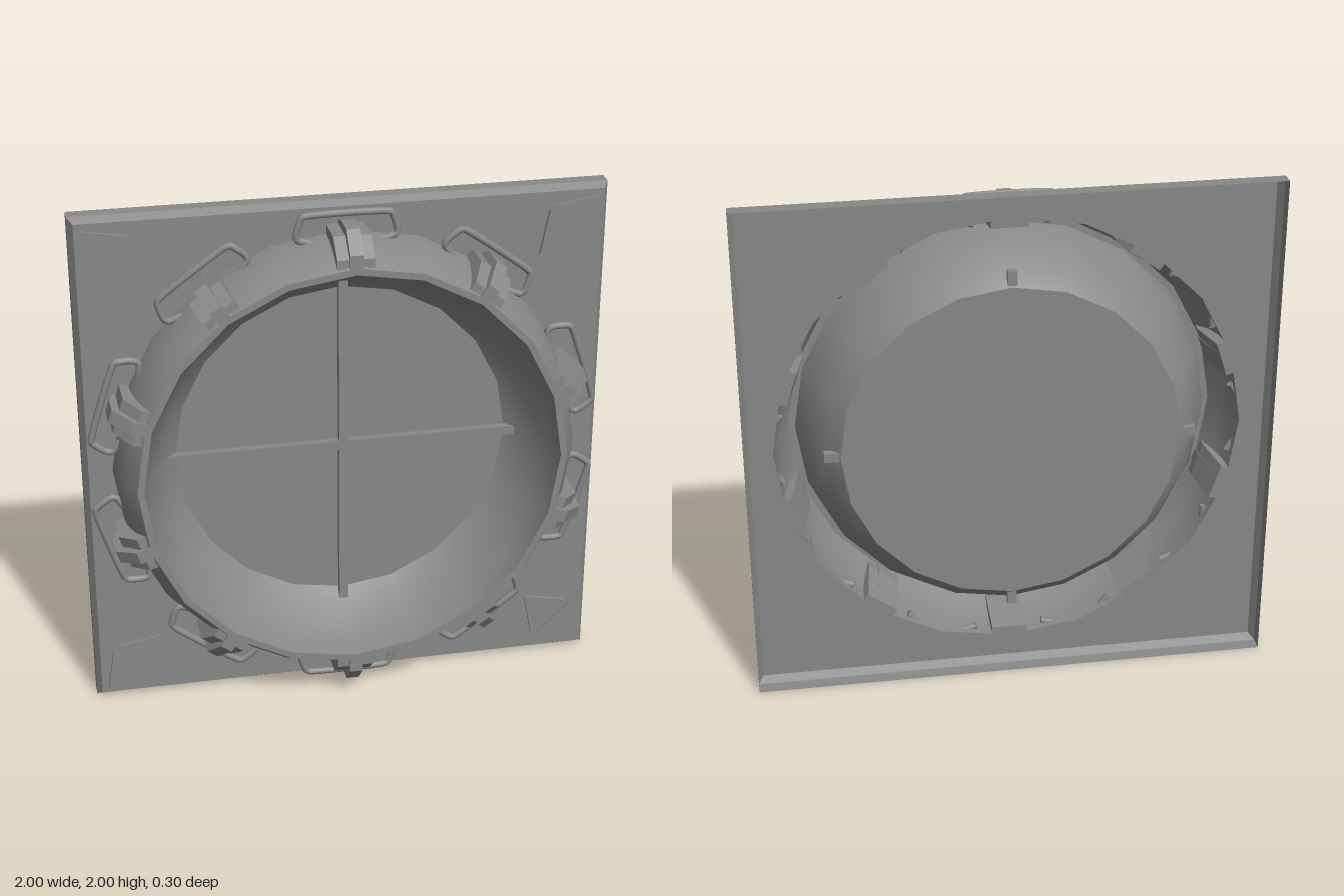
import * as THREE from 'three';
import { toCreasedNormals } from 'three/addons/utils/BufferGeometryUtils.js';

const SIDES = 20;
const CLAMPS = 10;
const FACE_Z = -0.065;

export function createModel() {
  const root = new THREE.Group();
  root.name = 'porthole';
  const body = new THREE.Group();
  body.name = 'body';
  body.position.y = 1;
  root.add(body);

  const grey = new THREE.MeshStandardMaterial({ color: 0x888888, side: THREE.DoubleSide });
  grey.name = 'grey metal';

  const add = (name, geometry, parent = body) => {
    const mesh = new THREE.Mesh(geometry, grey);
    mesh.name = name;
    parent.add(mesh);
    return mesh;
  };
  const points = (list) => list.map(([x, y]) => new THREE.Vector2(x, y));
  // Profile of [radius, z] turned about the z axis
  const turned = (profile, sides, crease) =>
    toCreasedNormals(new THREE.LatheGeometry(points(profile), sides).rotateX(Math.PI / 2), crease);

  // Square plate with a round opening
  const face = new THREE.Shape(points([[-0.98, -0.98], [0.98, -0.98], [0.98, 0.98], [-0.98, 0.98]]));
  const ring = [];
  for (let i = 0; i < SIDES; i++) {
    const a = (-i / SIDES) * Math.PI * 2;
    ring.push([0.89 * Math.cos(a), 0.89 * Math.sin(a)]);
  }
  face.holes.push(new THREE.Path(points(ring)));
  add('plate', new THREE.ShapeGeometry(face).translate(0, 0, FACE_Z));

  // Bevelled skirt around the plate, open at the back
  const skirt = [[1, -0.15], [1, -0.095], [0.98, FACE_Z]].map(([r, z]) => [r * Math.SQRT2, z]);
  add('plateEdge', turned(skirt, 4, 0.2).rotateZ(Math.PI / 4));

  // Raised collar running over the rim and down into the bowl
  add('collar', turned([
    [0.645, -0.13], [0.7, -0.075], [0.775, 0.07], [0.795, 0.15],
    [0.82, 0.15], [0.86, 0.08], [0.885, 0], [0.89, FACE_Z],
  ], SIDES, 0.42));

  // Window pane and its cross bars
  add('pane', new THREE.CircleGeometry(0.645, SIDES).translate(0, 0, -0.13));
  add('crossBarHorizontal', new THREE.BoxGeometry(1.41, 0.036, 0.03).translate(0, 0, -0.11));
  add('crossBarVertical', new THREE.BoxGeometry(0.036, 1.41, 0.03).translate(0, 0, -0.11));

  // Clamp strip: [radius, z] outline given a width along the rim
  const basis = new THREE.Matrix4().makeBasis(
    new THREE.Vector3(0, 1, 0), new THREE.Vector3(0, 0, 1), new THREE.Vector3(1, 0, 0));
  const strip = (outline, width) =>
    new THREE.ExtrudeGeometry(new THREE.Shape(points(outline)), { depth: width, bevelEnabled: false })
      .translate(0, 0, -width / 2).applyMatrix4(basis);
  const wide = strip([
    [0.85, FACE_Z], [0.915, FACE_Z], [0.915, 0.065], [0.85, 0.14], [0.815, 0.14], [0.815, 0.1],
  ], 0.14);
  const narrow = strip([
    [0.85, FACE_Z], [0.93, FACE_Z], [0.945, -0.02], [0.945, 0.08], [0.87, 0.152], [0.812, 0.152], [0.812, 0.1],
  ], 0.05);

  // Bent rod handle around each clamp
  const half = [[0.13, 0.858], [0.165, 0.868], [0.182, 0.874], [0.188, 0.89], [0.172, 0.948], [0.164, 0.961], [0.148, 0.965]];
  const path = [...half.map(([x, y]) => [-x, y]), ...half.slice().reverse()];
  const curve = new THREE.CatmullRomCurve3(path.map(([x, y]) => new THREE.Vector3(x, y, -0.028)));
  const rod = new THREE.TubeGeometry(curve, 48, 0.0135, 8);

  for (let i = 0; i < CLAMPS; i++) {
    const clamp = new THREE.Group();
    clamp.name = 'clamp' + (i + 1);
    clamp.rotation.z = (i / CLAMPS) * Math.PI * 2;
    body.add(clamp);
    add('clampBase', wide, clamp);
    add('clampStrip', narrow, clamp);
    add('handle', rod, clamp);
    for (const s of [-1, 1]) {
      const cap = add('handleEnd', new THREE.CircleGeometry(0.0135, 8).rotateY(Math.PI / 2), clamp);
      cap.position.set(s * 0.13, 0.858, -0.028);
    }
  }

  // Pair of raised triangles in every corner
  const triangles = [
    [[0.955, 0.955], [0.79, 0.928], [0.928, 0.79]],
    [[0.912, 0.772], [0.772, 0.912], [0.738, 0.738]],
  ];
  for (const sx of [-1, 1]) for (const sy of [-1, 1]) for (const t of triangles) {
    const shape = new THREE.Shape(points(t.map(([x, y]) => [x * sx, y * sy])));
    add('cornerTriangle', new THREE.ExtrudeGeometry(shape, { depth: 0.012, bevelEnabled: false })
      .translate(0, 0, FACE_Z));
  }
  return root;
}
